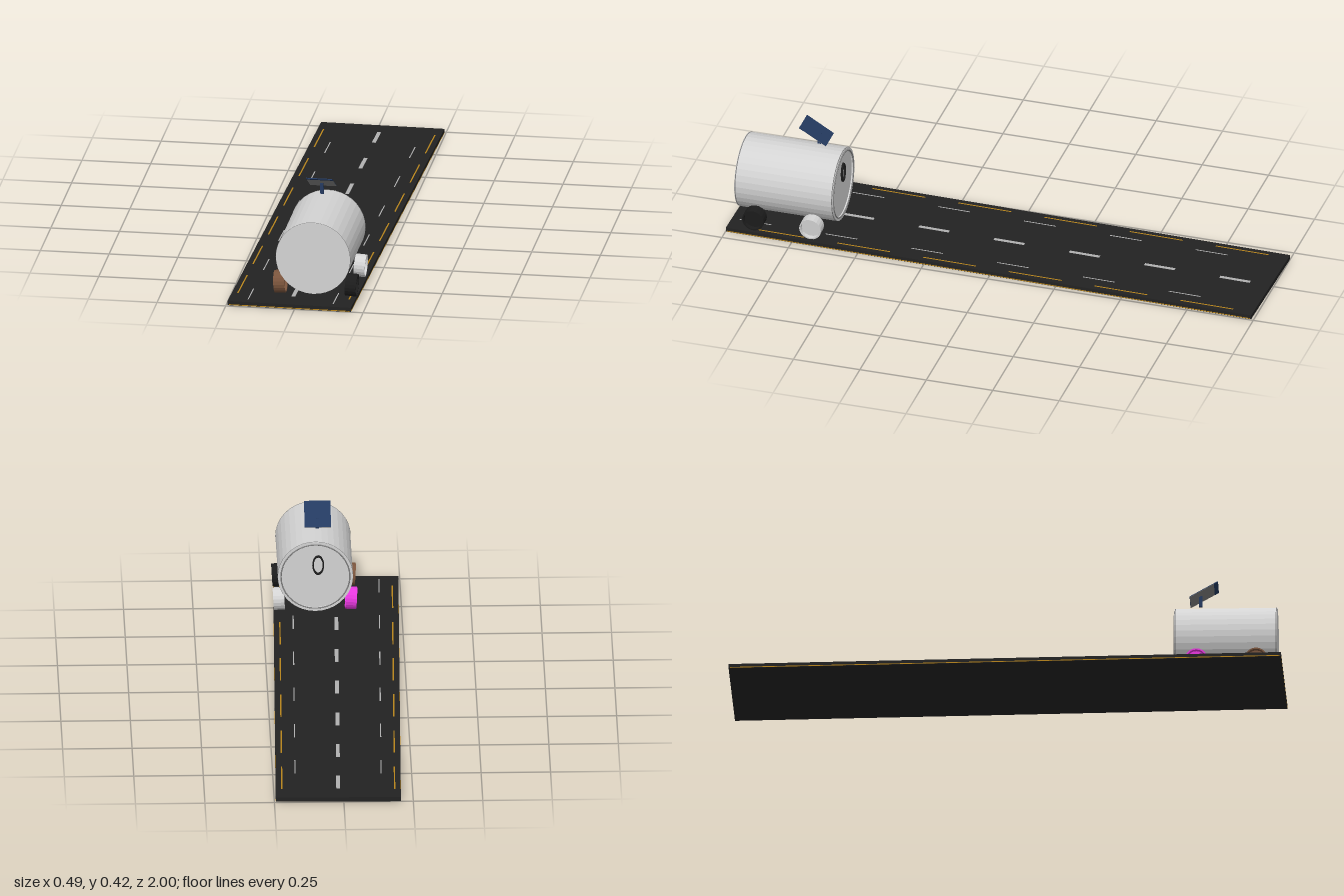
import * as THREE from 'three';

const mat = (name, color, extra = {}) => {
  const m = new THREE.MeshStandardMaterial({ color, ...extra });
  m.name = name;
  return m;
};

export function createModel() {
  const flat = { flatShading: true };
  const asphalt = mat('asphalt', 0x222222);
  const lightGrey = mat('lightGrey', 0xd3d3d3, flat);
  const grey = mat('grey', 0x808080, flat);
  const black = mat('black', 0x1c1c1c, flat);
  const brown = mat('brown', 0x7a543c, flat);
  const magenta = mat('magenta', 0xe838e0, flat);
  const navy = mat('navy', 0x243a60);
  const white = mat('lineWhite', 0xb0b0b0);
  const yellow = mat('lineYellow', 0xb8841b);

  const model = new THREE.Group();
  const add = (parent, name, geometry, material, x = 0, y = 0, z = 0) => {
    const mesh = new THREE.Mesh(geometry, material);
    mesh.name = name;
    mesh.position.set(x, y, z);
    parent.add(mesh);
    return mesh;
  };
  const box = (w, h, d) => new THREE.BoxGeometry(w, h, d);

  // Road slab, turned slightly against the vehicle
  const road = new THREE.Group();
  road.name = 'road';
  road.rotation.y = -0.02;
  model.add(road);
  add(road, 'roadSlab', box(0.45, 0.016, 1.99), asphalt, 0, 0.008, 0);

  // Centre dashes
  for (let i = 0; i < 7; i++) {
    add(road, 'centreDash', box(0.014, 0.001, 0.115), white, 0, 0.0162, -0.86 + i * 0.285);
  }
  // Broken edge lines and the thin strips low on the road sides
  for (const s of [-1, 1]) {
    for (let i = 0; i < 6; i++) {
      const z = -0.82 + i * 0.325;
      add(road, 'edgeLine', box(0.005, 0.001, 0.2), yellow, s * 0.203, 0.0162, z);
      add(road, 'innerLine', box(0.004, 0.001, 0.12), white, s * 0.155, 0.0162, z + 0.1);
    }
    add(road, 'sideStrip', box(0.001, 0.003, 1.98), yellow, s * 0.225, 0.0025, 0);
  }
  add(road, 'frontStrip', box(0.44, 0.003, 0.001), yellow, 0, 0.0025, 0.995);

  // Barrel body with a recessed back end
  const vehicle = new THREE.Group();
  vehicle.name = 'vehicle';
  model.add(vehicle);
  const profile = (pts) => pts.map(([r, y]) => new THREE.Vector2(r, y));
  const barrel = add(vehicle, 'barrel', new THREE.LatheGeometry(profile([
    [0, -0.178], [0.123, -0.178], [0.125, -0.185], [0.135, -0.185],
    [0.135, 0.185], [0, 0.185],
  ]), 36), lightGrey, 0.063, 0.187, 0.785);
  barrel.rotation.x = Math.PI / 2;

  // Rim rings
  for (const [r, z] of [[0.1335, 0.603], [0.1335, 0.967], [0.124, 0.6]]) {
    add(vehicle, 'rimRing', new THREE.TorusGeometry(r, 0.0025, 6, 36), grey, 0.063, 0.187, z);
  }

  // Oval ring on the back
  const port = add(vehicle, 'backRing', new THREE.TorusGeometry(0.034, 0.005, 8, 24),
    black, 0.053, 0.23, 0.604);
  port.scale.x = 0.55;

  // Hollow wheels, tops leaning outward
  const wheelGeometry = new THREE.LatheGeometry(profile([
    [0, -0.006], [0.035, -0.006], [0.036, -0.02], [0.041, -0.02],
    [0.041, 0.02], [0.036, 0.02], [0.035, 0.006], [0, 0.006],
  ]), 20);
  const wheels = [
    ['frontLeftWheel', 1, 0.895, black], ['frontRightWheel', -1, 0.895, brown],
    ['backLeftWheel', 1, 0.68, lightGrey], ['backRightWheel', -1, 0.68, magenta],
  ];
  for (const [name, s, z, material] of wheels) {
    const wheel = add(vehicle, name, wheelGeometry, material, 0.063 + s * 0.13, 0.068, z);
    wheel.rotation.z = Math.PI / 2 - s * 0.06;
  }

  // Tilted solar panel: blue face, grey underside, blue front lip
  const panel = new THREE.Group();
  panel.name = 'solarPanel';
  panel.position.set(0.053, 0.386, 0.705);
  panel.rotation.x = -0.53;
  vehicle.add(panel);
  add(panel, 'panelFace', box(0.095, 0.002, 0.117), navy, 0, 0.001, 0);
  add(panel, 'panelUnderside', box(0.095, 0.001, 0.1), grey, 0, -0.0005, -0.0085);
  add(panel, 'panelLip', box(0.095, 0.0015, 0.017), navy, 0, -0.0007, 0.05);

  // Panel post
  const post = add(vehicle, 'panelPost', box(0.012, 0.04, 0.012), navy, 0.0535, 0.358, 0.692);
  post.rotation.z = 0.05;

  return model;
}
